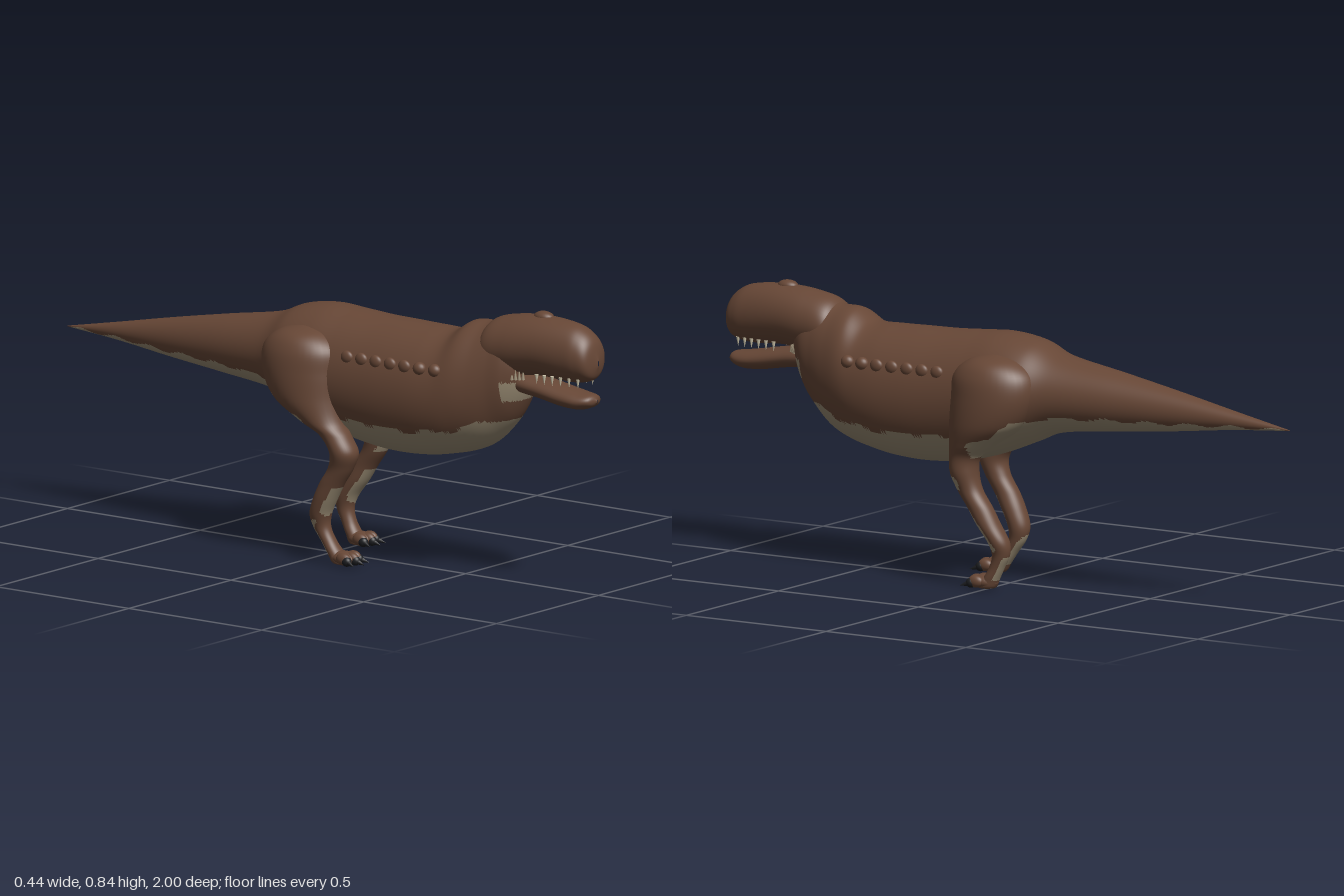
import * as THREE from 'three';

const flat = (name, color) => {
  const m = new THREE.MeshStandardMaterial({ color });
  m.name = name;
  return m;
};

// Smooth skin through elliptical sections [cx, cy, cz, halfA, halfB].
// Rings lie across the z axis (running backward) or the y axis (running down).
// isPale(centre, normal) picks the second material for a face.
function loft(name, sections, axis, rings, sides, materials, isPale = () => false) {
  const centres = new THREE.CatmullRomCurve3(sections.map(s => new THREE.Vector3(s[0], s[1], s[2])), false, 'catmullrom');
  const sizes = new THREE.CatmullRomCurve3(sections.map(s => new THREE.Vector3(s[3], s[4], 0)), false, 'catmullrom');
  const pos = [];
  for (let i = 0; i <= rings; i++) {
    const c = centres.getPoint(i / rings), r = sizes.getPoint(i / rings);
    for (let j = 0; j < sides; j++) {
      const a = (j / sides) * Math.PI * 2;
      const u = Math.max(r.x, 0.0005) * Math.cos(a), v = Math.max(r.y, 0.0005) * Math.sin(a);
      if (axis === 'z') pos.push(c.x + u, c.y + v, c.z);
      else pos.push(c.x + u, c.y, c.z - v);
    }
  }
  const main = [], pale = [], tri = new THREE.Triangle(), mid = new THREE.Vector3(), n = new THREE.Vector3();
  const sort = (...f) => {
    [tri.a, tri.b, tri.c].forEach((p, k) => p.fromArray(pos, f[k] * 3));
    tri.getMidpoint(mid);
    tri.getNormal(n);
    (isPale(mid, n) ? pale : main).push(...f);
  };
  for (let i = 0; i < rings; i++) for (let j = 0; j < sides; j++) {
    const k = (j + 1) % sides, a = i * sides + j, b = i * sides + k;
    sort(a, a + sides, b);
    sort(b, a + sides, b + sides);
  }
  const g = new THREE.BufferGeometry();
  g.setAttribute('position', new THREE.Float32BufferAttribute(pos, 3));
  g.setIndex([...main, ...pale]);
  g.addGroup(0, main.length, 0);
  g.addGroup(main.length, pale.length, 1);
  g.computeVertexNormals();
  const mesh = new THREE.Mesh(g, materials);
  mesh.name = name;
  return mesh;
}

// Profile rows [z, top, bottom, halfWidth], front to back, to loft sections
const profile = rows => rows.map(([z, t, b, w]) => [0, (t + b) / 2, z, w, (t - b) / 2]);

// Linear lookup in rows [key, value] with falling keys
function lookup(rows, k) {
  if (k >= rows[0][0]) return rows[0][1];
  for (let i = 1; i < rows.length; i++) {
    const [k0, v0] = rows[i - 1], [k1, v1] = rows[i];
    if (k >= k1) return v0 + (v1 - v0) * (k0 - k) / (k0 - k1);
  }
  return rows[rows.length - 1][1];
}

export function createModel() {
  const brown = flat('brown hide', 0x674736);
  const beige = flat('pale belly', 0x998b73);
  const black = flat('claw black', 0x1c1d20);
  const ivory = flat('tooth ivory', 0xcfc6ac);
  const hide = [brown, beige];
  const model = new THREE.Group();
  model.name = 'dinosaur';

  const ball = new THREE.SphereGeometry(1, 24, 16);
  const cone = new THREE.ConeGeometry(1, 1, 10);
  const add = (parent, name, geometry, material, p, s) => {
    const m = new THREE.Mesh(geometry, material);
    m.name = name;
    m.position.set(...p);
    m.scale.set(...s);
    parent.add(m);
    return m;
  };

  // Neck, trunk and tail, pale below the belly line and at the throat
  const bellyLine = [[0.72, 0.505], [0.63, 0.5], [0.55, 0.465], [0.4, 0.445], [0.2, 0.45], [0.05, 0.44],
    [-0.05, 0.475], [-0.1, 0.51], [-0.2, 0.535], [-0.4, 0.543], [-0.6, 0.547], [-0.8, 0.556], [-1, 0.56]];
  const belowBelly = c => c.y < lookup(bellyLine, c.z) + 0.005 * Math.sin(c.z * 45);
  model.add(loft('trunkAndTail', profile([
    [0.745, 0.70, 0.64, 0.005], [0.735, 0.77, 0.585, 0.06], [0.70, 0.80, 0.51, 0.092], [0.65, 0.80, 0.45, 0.11],
    [0.60, 0.79, 0.41, 0.128], [0.54, 0.785, 0.385, 0.147], [0.48, 0.752, 0.37, 0.158], [0.4, 0.75, 0.355, 0.166],
    [0.3, 0.752, 0.348, 0.168], [0.2, 0.754, 0.353, 0.167], [0.1, 0.76, 0.37, 0.166], [0, 0.765, 0.4, 0.166],
    [-0.1, 0.75, 0.44, 0.156], [-0.2, 0.712, 0.478, 0.122], [-0.4, 0.677, 0.5, 0.087], [-0.6, 0.64, 0.52, 0.056],
    [-0.8, 0.6, 0.543, 0.028], [-1, 0.561, 0.559, 0.001],
  ]), 'z', 200, 72, hide, c => belowBelly(c) || (c.z > 0.695 && c.y > 0.565 && c.y < 0.625)));

  // Head and lower jaw
  model.add(loft('head', profile([
    [1, 0.72, 0.7, 0.002], [0.985, 0.775, 0.662, 0.05], [0.95, 0.808, 0.647, 0.069], [0.9, 0.824, 0.643, 0.077],
    [0.8, 0.831, 0.648, 0.087], [0.7, 0.823, 0.638, 0.094], [0.62, 0.80, 0.64, 0.088], [0.58, 0.74, 0.68, 0.04],
  ]), 'z', 64, 48, hide));
  model.add(loft('lowerJaw', profile([
    [0.995, 0.598, 0.59, 0.002], [0.98, 0.612, 0.575, 0.035], [0.94, 0.618, 0.563, 0.052], [0.88, 0.628, 0.565, 0.056],
    [0.8, 0.642, 0.578, 0.056], [0.72, 0.652, 0.588, 0.055], [0.66, 0.64, 0.6, 0.03],
  ]), 'z', 40, 32, hide));
  add(model, 'crownBump', ball, brown, [0, 0.826, 0.795], [0.024, 0.018, 0.034]);

  for (const side of [1, -1]) {
    // Upper teeth and the strands at the mouth corner
    for (let i = 0; i < 6; i++) {
      const z = 0.81 + i * 0.028;
      add(model, 'tooth', cone, ivory, [side * (0.056 - i * i * 0.0008), 0.647, z], [0.006, 0.03, 0.006]).rotation.x = Math.PI;
    }
    for (let i = 0; i < 4; i++)
      add(model, 'mouthStrand', cone, beige, [side * (0.047 + i * 0.007), 0.653, 0.752 - i * 0.009], [0.005, 0.035, 0.006]);

    // Row of flank bumps, the front two standing out most
    for (let i = 0; i < 7; i++)
      add(model, 'flankBump', ball, brown, [side * (0.139 + Math.min(i, 2) * 0.004), 0.645, 0.49 - i * 0.054],
        [i < 2 ? 0.018 : 0.012, 0.02, 0.022]);

    // Leg from hip to ankle; the right one steps forward
    const step = side < 0 ? [[0.46, 0], [0.36, 0.075], [0.2, 0.085], [0.08, 0.115], [0, 0.13]] : [[1, 0]];
    const shift = y => lookup(step, y);
    const leg = [
      [0.1, 0.715, -0.02, 0.004, 0.01], [0.105, 0.695, -0.02, 0.072, 0.085], [0.11, 0.65, -0.02, 0.1, 0.135],
      [0.113, 0.58, -0.018, 0.107, 0.14], [0.118, 0.5, 0.005, 0.099, 0.12], [0.133, 0.44, 0.045, 0.067, 0.075],
      [0.139, 0.4, 0.07, 0.047, 0.05], [0.138, 0.35, 0.072, 0.046, 0.044], [0.135, 0.3, 0.055, 0.038, 0.04],
      [0.135, 0.25, 0.02, 0.036, 0.04], [0.133, 0.2, -0.01, 0.037, 0.038], [0.13, 0.15, -0.043, 0.034, 0.034],
      [0.127, 0.11, -0.05, 0.026, 0.028], [0.126, 0.07, -0.035, 0.024, 0.024], [0.125, 0.035, -0.015, 0.027, 0.026],
      [0.125, 0.008, 0, 0.025, 0.028], [0.125, 0.005, 0, 0.001, 0.001],
    ].map(([x, y, z, a, b]) => [side * x, y, z + shift(y), a, b]);
    // Pale on the rear underside of the thigh, the shin front, the heel and the left knee band
    const palePatch = (c, n) => {
      if (c.y > 0.4) return c.z < 0.03 && n.y < 0 && belowBelly(c);
      const kneeBand = side > 0 && c.y > 0.3 && c.y < 0.34;
      return n.y < -0.3 && c.y > 0.03 && (c.y < 0.24 || kneeBand);
    };
    model.add(loft(side > 0 ? 'leftLeg' : 'rightLeg', leg, 'y', 120, 40, hide, palePatch));

    // Foot with three clawed toes
    const foot = new THREE.Group();
    foot.name = side > 0 ? 'leftFoot' : 'rightFoot';
    foot.position.set(side * 0.125, 0, shift(0));
    model.add(foot);
    add(foot, 'footPad', ball, brown, [0, 0.024, 0.008], [0.032, 0.022, 0.045]);
    for (const t of [-1, 0, 1]) {
      const z = 0.035 - Math.abs(t) * 0.01;
      add(foot, 'toe', ball, brown, [t * 0.025, 0.026, z], [0.015, 0.019, 0.026]);
      add(foot, 'clawBase', ball, black, [t * 0.029, 0.021, z + 0.015], [0.013, 0.015, 0.016]);
      const claw = add(foot, 'claw', cone, black, [t * 0.034, 0.016, z + 0.032], [0.012, 0.036, 0.012]);
      claw.rotation.set(Math.PI / 2 + 0.3, 0, -t * 0.3);
    }
  }
  return model;
}
